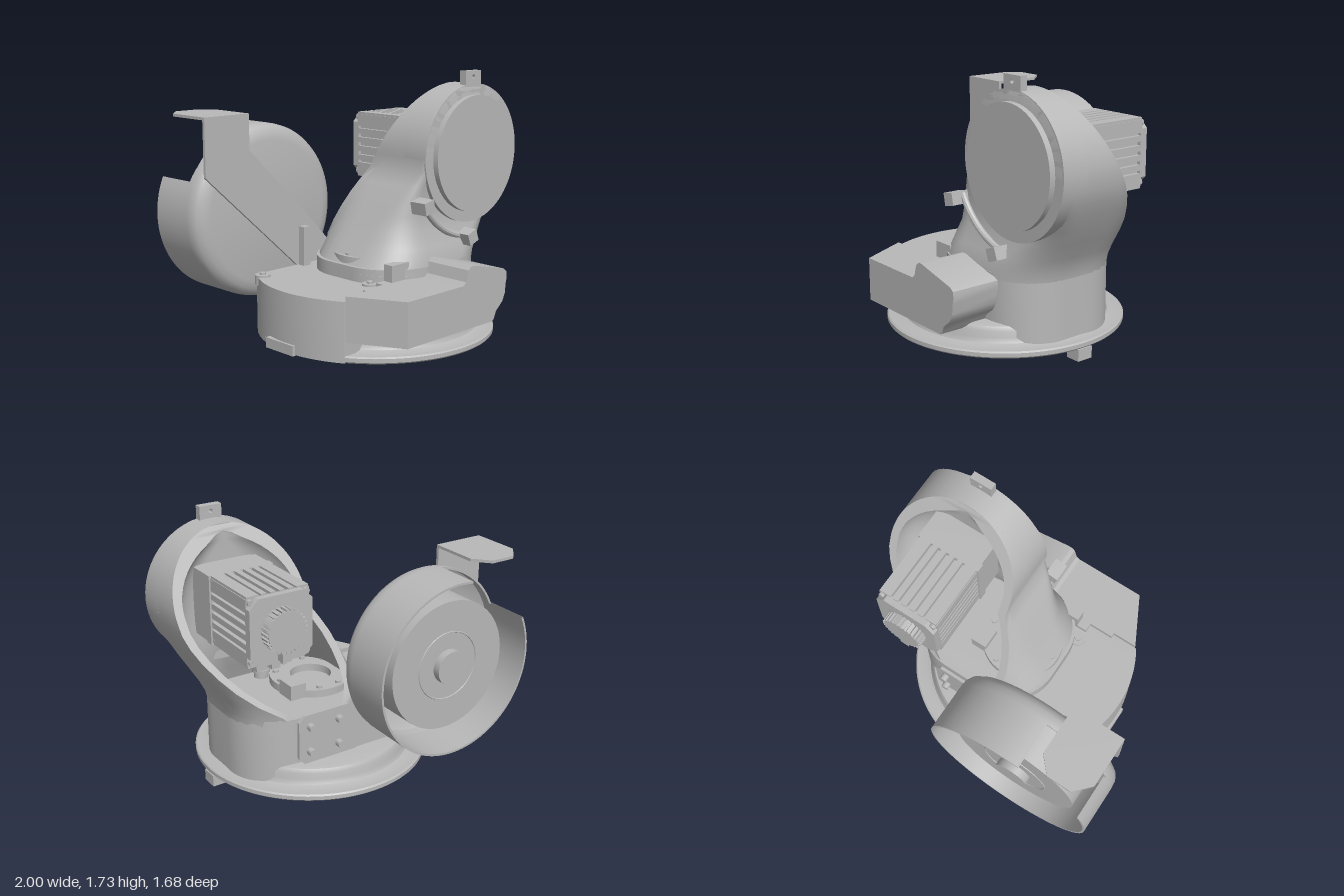
import * as THREE from 'three';
import { toCreasedNormals } from 'three/addons/utils/BufferGeometryUtils.js';

export function createModel() {
  const root = new THREE.Group();
  const grey = new THREE.MeshStandardMaterial({ color: 0xb8b8b8, side: THREE.DoubleSide });
  grey.name = 'cast grey';

  const add = (name, geo, x = 0, y = 0, z = 0) => {
    const m = new THREE.Mesh(toCreasedNormals(geo, 0.55), grey);
    m.name = name;
    m.position.set(x, y, z);
    root.add(m);
    return m;
  };
  // box from min/max pairs
  const box = (name, x0, x1, y0, y1, z0, z1) =>
    add(name, new THREE.BoxGeometry(x1 - x0, y1 - y0, z1 - z0), (x0 + x1) / 2, (y0 + y1) / 2, (z0 + z1) / 2);
  const shapeOf = pts => new THREE.Shape(pts.map(p => new THREE.Vector2(p[0], p[1])));
  const extrude = (shape, depth) => new THREE.ExtrudeGeometry(shape, { depth, bevelEnabled: false, curveSegments: 24 });
  // front outline (x, y) from z0 to z1
  const front = (name, pts, z0, z1) => add(name, extrude(shapeOf(pts), z1 - z0), 0, 0, z0);
  // floor outline (x, z) from y0 to y1
  const plan = (name, pts, y0, y1) =>
    add(name, extrude(shapeOf(pts.map(p => [p[0], -p[1]])), y1 - y0).rotateX(-Math.PI / 2), 0, y0, 0);
  const cylZ = (name, r, x, y, z0, z1, n = 48) =>
    add(name, new THREE.CylinderGeometry(r, r, z1 - z0, n).rotateX(Math.PI / 2), x, y, (z0 + z1) / 2);
  const cylY = (name, r, x, z, y0, y1, n = 48) =>
    add(name, new THREE.CylinderGeometry(r, r, y1 - y0, n), x, (y0 + y1) / 2, z);
  const lathe = (pts, n = 72, start = 0, len = Math.PI * 2) =>
    new THREE.LatheGeometry(pts.map(p => new THREE.Vector2(p[0], p[1])), n, start, len);

  // Round base with a filleted step
  add('baseFlange', lathe([[0, 0.05], [0.67, 0.05], [0.67, 0.075], [0.755, 0.075], [0.765, 0.085], [0.765, 0.11],
    [0.755, 0.118], [0.69, 0.118], [0.66, 0.13], [0.645, 0.16], [0.645, 0.2], [0.63, 0.225], [0.6, 0.233], [0, 0.233]], 96), 0.035, 0, 0.075);
  box('alignmentTab', 0.7, 0.8, 0, 0.075, 0.02, 0.13);
  box('sideTab', -0.745, -0.7, 0.07, 0.135, -0.1, 0.15);

  // Low side housing with a curved outer wall
  const side = [[0.3, 0.47], [0.3, -0.39]];
  for (let i = 0; i <= 20; i++) {
    const a = 3.797 - i * 1.197 / 20;
    side.push([0.035 + 0.765 * Math.cos(a), 0.075 + 0.765 * Math.sin(a)]);
  }
  plan('sideHousing', side, 0.075, 0.45);
  for (const [x, z] of [[-0.58, -0.32], [-0.03, -0.32], [-0.25, 0.31]]) {
    cylY('screwBoss', 0.05, x, z, 0.4, 0.462, 24);
    cylY('screw', 0.022, x, z, 0.4, 0.475, 6);
  }
  box('housingRib', -0.27, 0.05, 0.4, 0.48, 0.38, 0.47);
  box('housingBlock', -0.2, -0.05, 0.45, 0.585, 0.38, 0.45);
  box('housingPost', -0.22, -0.165, 0.45, 0.71, -0.38, -0.33);

  // Connector cover at the front
  front('connectorCover', [[-0.44, 0.2], [0.33, 0.2], [0.35, 0.215], [0.37, 0.26], [0.43, 0.31], [0.455, 0.36], [0.46, 0.42],
    [0.47, 0.46], [0.465, 0.5], [0.44, 0.52], [0.15, 0.59], [0.12, 0.59], [0.095, 0.57], [0.075, 0.5], [0.05, 0.48], [-0.44, 0.48]], 0.44, 0.805);
  plan('coverSide', [[-0.61, 0.47], [-0.44, 0.805], [-0.43, 0.47]], 0.2, 0.48);

  // Column below the arm
  const col = [], XL = -0.26, XR = 0.71, ZB = -0.365, ZF = 0.49, CR = 0.33;
  [[XR - CR, ZF - CR], [XL + CR, ZF - CR], [XL + CR, ZB + CR], [XR - CR, ZB + CR]].forEach(([x, z], q) => {
    for (let i = 0; i <= 12; i++) {
      const a = (q + i / 12) * Math.PI / 2;
      col.push([x + CR * Math.cos(a), z + CR * Math.sin(a)]);
    }
  });
  plan('column', col, 0.1, 0.54);

  // Arm: hollow U sections stacked upward and cut by a sloping rear plane
  const CX = 0.55, CY = 1.2, R = 0.447;
  // y, left, right, front, front corner radius, inner front
  const levels = [[0.5, XL, XR, ZF, CR, 0.38], [0.56, -0.225, 0.722, 0.485, 0.32, 0.36], [0.65, -0.17, 0.765, 0.46, 0.28, 0.32],
    [0.75, -0.11, 0.825, 0.42, 0.22, 0.28], [0.85, -0.055, 0.88, 0.41, 0.16, 0.25], [0.95, 0, 0.93, 0.41, 0.1, 0.24],
    [1.03, 0.05, 0.965, 0.42, 0.06, 0.24], [1.11, 0.1, 0.99, 0.435, 0.03, 0.24]];
  for (let i = 0; i <= 18; i++) {
    const a = i / 18 * Math.PI / 2, w = R * Math.cos(a);
    levels.push([CY + R * Math.sin(a), CX - w, CX + w, 0.44, 0.012, 0.24]);
  }
  const inset = (r, d) => d >= r ? 0 : r - Math.sqrt(Math.max(0, r * r - (r - d) * (r - d)));
  const N = 20;
  const halfLoop = (w, zb, zf, r) => {
    const pts = [];
    r = Math.max(0.001, Math.min(r, w));
    for (let i = 0; i <= N; i++) {
      const z = zb + (zf - zb) * (1 - (1 - i / N) ** 2);
      pts.push([Math.max(0, w - inset(r, zf - z) - inset(Math.min(CR, w), z - ZB)), z]);
    }
    return pts;
  };
  const pos = [], idx = [];
  let L = 0;
  levels.forEach(([y, xl, xr, zf, r, zi], k) => {
    const zb = Math.max(-0.36, -0.36 + (y - 0.54) * 0.5636), c = (xl + xr) / 2, w = (xr - xl) / 2;
    const o = halfLoop(w, zb, zf, r), n = halfLoop(Math.max(0, w - 0.055), zb, Math.max(zi, zb), 0.22);
    const loop = [...o.map(p => [-p[0], p[1]]), ...o.slice().reverse(),
      ...n, ...n.slice().reverse().map(p => [-p[0], p[1]])];
    L = loop.length;
    loop.forEach(p => pos.push(c + p[0], y, p[1]));
    if (k) for (let i = 0; i < L; i++) {
      const a = (k - 1) * L + i, b = (k - 1) * L + (i + 1) % L;
      idx.push(a, b, b + L, a, b + L, a + L);
    }
  });
  const armGeo = new THREE.BufferGeometry();
  armGeo.setAttribute('position', new THREE.Float32BufferAttribute(pos, 3));
  armGeo.setIndex(idx);
  add('arm', armGeo);
  cylZ('armFace', R, CX, CY, 0.26, 0.44, 80);
  cylZ('frontCover', 0.376, CX, CY, 0.43, 0.478, 72);

  // Lifting eye
  const eye = shapeOf([[0.475, 1.62], [0.625, 1.62], [0.625, 1.728], [0.475, 1.728]]);
  eye.holes.push(new THREE.Path().absarc(0.55, 1.69, 0.014, 0, Math.PI * 2, true));
  add('liftingEye', extrude(eye, 0.05), 0, 0, 0.39);

  // Curved cable and its two clips
  add('curvedCable', new THREE.TorusGeometry(0.535, 0.022, 10, 32, 0.95).rotateZ(3.63), CX, CY, 0.44);
  for (const [x, y, t] of [[0.05, 0.92, 0.2], [0.47, 0.67, 0.35]])
    add('cableClip', new THREE.BoxGeometry(0.085, 0.08, 0.12), x, y, 0.47).rotation.z = t;

  // Joint actuator inside the arm
  const ring = new THREE.Shape().absarc(0, 0, 0.27, 0, Math.PI * 2);
  ring.holes.push(new THREE.Path().absarc(0, 0, 0.135, 0, Math.PI * 2, true));
  add('actuatorRing', extrude(ring, 0.06).rotateX(-Math.PI / 2), 0.035, 0.53, 0.065);
  for (let i = 0; i < 10; i++) {
    const a = i * Math.PI / 5;
    cylY('actuatorBolt', 0.02, 0.035 + 0.23 * Math.cos(a), 0.065 + 0.23 * Math.sin(a), 0.58, 0.605, 12);
  }
  box('actuatorBlock', 0.2, 0.31, 0.54, 0.64, -0.14, 0);

  // Motor: mount, finned body, end cap and ribbed encoder
  const MY = 1.2, MX = 0.55;
  box('motorMount', 0.34, 0.77, 0.99, 1.42, 0.07, 0.25);
  box('motorFlange', 0.33, 0.77, 0.98, 1.42, 0.02, 0.075);
  box('motorCore', 0.365, 0.735, 1.015, 1.385, -0.4, 0.03);
  for (const s of [-1, 1]) for (const o of [-0.165, -0.09, -0.03, 0.03, 0.09, 0.165]) {
    const t = Math.abs(o) > 0.1 ? 0.04 : 0.018;
    box('motorFin', MX + o - t, MX + o + t, MY + s * 0.2 - 0.02, MY + s * 0.2 + 0.02, -0.4, 0.03);
    box('motorFin', MX + s * 0.19 - 0.02, MX + s * 0.19 + 0.02, MY + o - t, MY + o + t, -0.4, 0.03);
  }
  const cap = [[-0.21, -0.15], [-0.15, -0.21], [0.15, -0.21], [0.21, -0.15], [0.21, 0.15], [0.15, 0.21], [-0.15, 0.21], [-0.21, 0.15]];
  front('motorEndCap', cap.map(p => [MX + p[0], MY + p[1]]), -0.44, -0.39);
  for (const sx of [-1, 1]) for (const sy of [-1, 1]) {
    cylZ('motorScrew', 0.02, MX + sx * 0.185, MY + sy * 0.185, -0.42, -0.38, 12);
    cylZ('flangeScrew', 0.022, MX + sx * 0.19, MY + sy * 0.19, -0.01, 0.04, 12);
  }
  cylZ('encoder', 0.125, MX, MY, -0.505, -0.43, 40);
  for (let i = 0; i < 28; i++) {
    const a = i / 28 * Math.PI * 2;
    add('encoderRib', new THREE.BoxGeometry(0.02, 0.014, 0.065), MX + 0.128 * Math.cos(a), MY + 0.128 * Math.sin(a), -0.472).rotation.z = a;
  }
  box('encoderPlug', 0.52, 0.58, 1.01, 1.07, -0.5, -0.43);
  box('motorSocket', 0.48, 0.62, 0.87, 1, -0.26, -0.1);
  cylY('motorPlug', 0.045, 0.55, -0.19, 0.8, 0.88, 16);
  cylY('motorPlugNut', 0.055, 0.55, -0.19, 0.835, 0.855, 16);
  box('sensorSocket', 0.52, 0.58, 0.92, 1, -0.37, -0.3);

  // Bracket plate with a folded top lip
  front('bracketPlate', [[-0.95, 1.48], [-0.95, 1.11], [0, 0.24], [0.38, 0.24], [0.42, 0.28], [0.42, 0.53], [0.38, 0.57],
    [0.06, 0.57], [-0.1, 0.74], [-0.61, 1.25], [-0.61, 1.48]], -0.41, -0.39);
  plan('bracketLip', [[-0.95, -0.39], [-0.61, -0.39], [-0.61, -0.71], [-0.7, -0.81], [-0.86, -0.81], [-0.95, -0.71]], 1.462, 1.48);
  for (const x of [0.13, 0.34]) for (const y of [0.32, 0.49]) cylZ('bracketBolt', 0.025, x, y, -0.45, -0.4, 16);

  // Cable reel: dished front, shell with a gap, inner drum
  const RX = -0.44, RY = 0.835;
  const reel = (name, pts, start, len) => add(name, lathe(pts, 80, start, len).rotateX(Math.PI / 2), RX, RY, 0);
  reel('reelDish', [[0, -0.415], [0.46, -0.415], [0.51, -0.425], [0.545, -0.45], [0.56, -0.48], [0.564, -0.52], [0.564, -0.54],
    [0.55, -0.54], [0.545, -0.48], [0.46, -0.43], [0, -0.43]]);
  const deg = Math.PI / 180;
  reel('reelShell', [[0.564, -0.535], [0.564, -0.84], [0.55, -0.84], [0.55, -0.535]], 245 * deg, 304 * deg);
  cylZ('reelDrum', 0.42, RX, RY, -0.75, -0.42, 64);
  add('drumRing', new THREE.TorusGeometry(0.22, 0.005, 6, 48), RX, RY, -0.75);
  cylZ('reelHub', 0.11, RX, RY, -0.8, -0.74, 40);

  return root;
}
